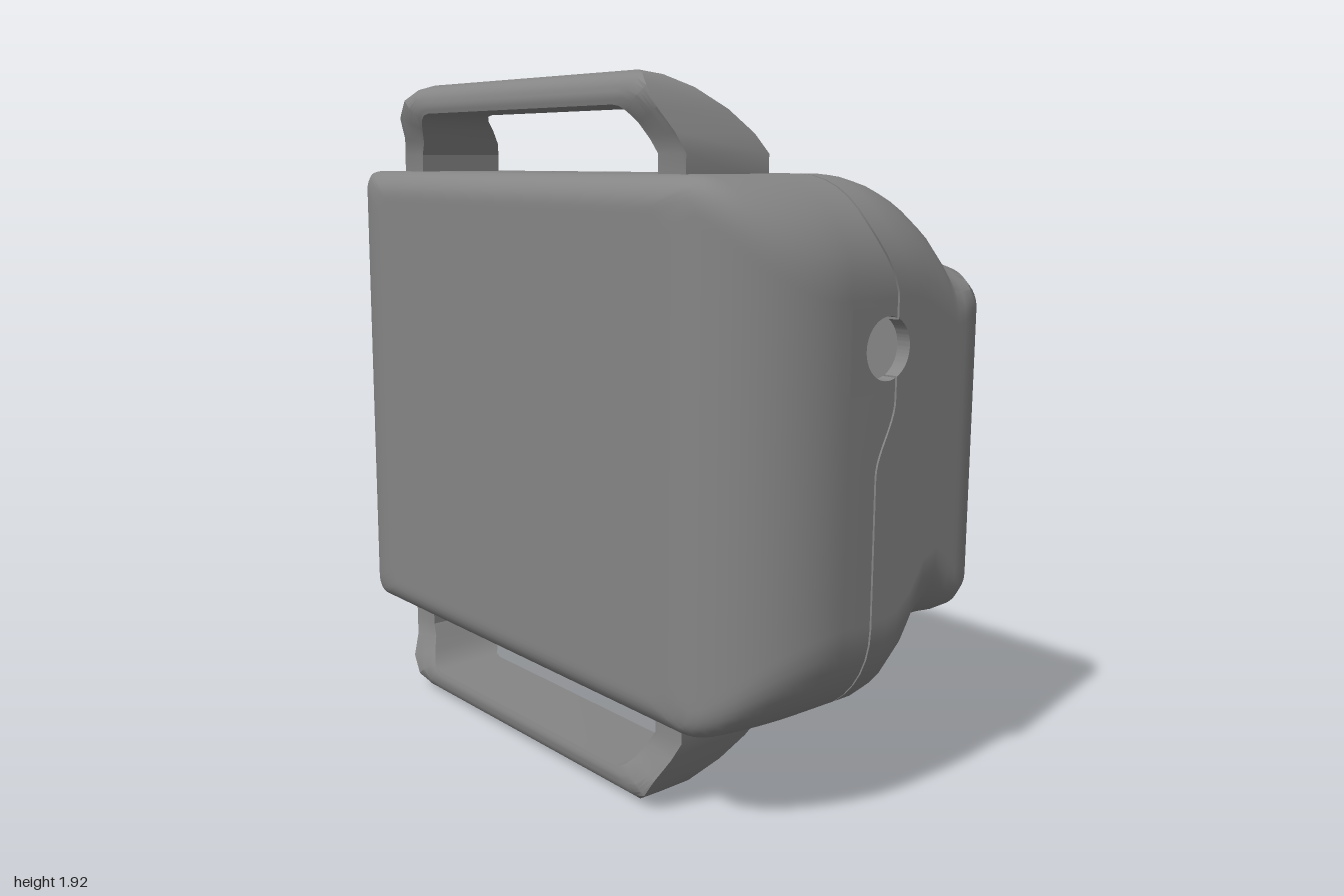
import * as THREE from 'three';
import { toCreasedNormals } from 'three/addons/utils/BufferGeometryUtils.js';

const mat = new THREE.MeshStandardMaterial({ color: 0x858585, side: THREE.DoubleSide });
const { lerp, smoothstep } = THREE.MathUtils;
const TOP = 1.67, BOT = 0.26, R_RIGHT = 0.28, R_LEFT = 0.2;
const ROWS = 48, CORNER = 10, GAP = 0.0035;
const XS = [-0.132, -0.048, 0.46, 0.66]; // columns bounding the small openings

function mesh(name, geo, crease = 0.6) {
  const m = new THREE.Mesh(toCreasedNormals(geo, crease), mat);
  m.name = name;
  return m;
}

// Skins a list of closed rings; skip(band, segment) leaves openings
function loft(rings, { skip = () => false, capStart = false, capEnd = false, flip = false } = {}) {
  const n = rings[0].length, pos = [], idx = [];
  const tri = (a, b, c) => (flip ? idx.push(a, c, b) : idx.push(a, b, c));
  for (const r of rings) for (const p of r) pos.push(p.x, p.y, p.z);
  for (let i = 0; i < rings.length - 1; i++)
    for (let j = 0; j < n; j++) {
      if (skip(i, j)) continue;
      const a = i * n + j, b = i * n + (j + 1) % n;
      tri(a, b, b + n);
      tri(a, b + n, a + n);
    }
  const cap = (ri, rev) => {
    const c = new THREE.Vector3();
    rings[ri].forEach((p) => c.addScaledVector(p, 1 / n));
    const ci = pos.length / 3;
    pos.push(c.x, c.y, c.z);
    for (let j = 0; j < n; j++) {
      const a = ri * n + j, b = ri * n + (j + 1) % n;
      rev ? tri(ci, b, a) : tri(ci, a, b);
    }
  };
  if (capStart) cap(0, true);
  if (capEnd) cap(rings.length - 1, false);
  const g = new THREE.BufferGeometry();
  g.setAttribute('position', new THREE.Float32BufferAttribute(pos, 3));
  g.setIndex(idx);
  return g;
}

// How far the parting line bends backwards on each side wall
function seam(x, y) {
  return x > 0
    ? -0.065 * smoothstep(y, 0.93, 1.12) * (1 - smoothstep(y, 1.37, 1.58))
    : -0.17 * smoothstep(y, 0.73, 0.9) * (1 - smoothstep(y, 1.39, 1.52));
}

// Rounded rectangle across the case; w is how much of the seam bend it follows
function section({ z, top = TOP, bot = BOT, hw = 1, rR = R_RIGHT, rL = R_LEFT, inset = 0, w = 0 }) {
  const p = [];
  const add = (x, y) => p.push(new THREE.Vector3(x, y, z + w * seam(x, y)));
  const corner = (cx, cy, r, a0) => {
    for (let k = 1; k < CORNER; k++) {
      const a = a0 + (k / CORNER) * Math.PI / 2;
      add(cx + (r - inset) * Math.cos(a), cy + (r - inset) * Math.sin(a));
    }
  };
  const columns = XS.map((x) => Math.min(x, hw - rR - 0.005));
  for (let k = 0; k <= ROWS; k++) add(hw - inset, lerp(bot + rR, top - rR, k / ROWS));
  corner(hw - rR, top - rR, rR, 0);
  [hw - rR, ...[...columns].reverse(), rL - hw].forEach((x) => add(x, top - inset));
  corner(rL - hw, top - rL, rL, Math.PI / 2);
  for (let k = 0; k <= ROWS; k++) add(inset - hw, lerp(top - rL, bot + rL, k / ROWS));
  corner(rL - hw, bot + rL, rL, Math.PI);
  [rL - hw, ...columns, hw - rR].forEach((x) => add(x, bot + inset));
  corner(hw - rR, bot + rR, rR, Math.PI * 1.5);
  return p;
}

// Ring segments where openings sit
const TOP0 = ROWS + CORNER, LEFT0 = TOP0 + 5 + CORNER, BOT0 = LEFT0 + ROWS + CORNER;
const atPortPanel = (j) => j >= 34 && j < 46;
const atPort = (j) => j >= 36 && j < 44;
const atSlot = (j) => j >= LEFT0 + 4 && j < LEFT0 + 27;
const atVent = (j) => j === TOP0 + 3;
const atNotch = (j) => j === BOT0 + 3;

// Back profile: depth, top and bottom
const BACK = [
  [-GAP, 1.67, 0.26], [-0.06, 1.67, 0.26], [-0.1, 1.665, 0.27], [-0.15, 1.652, 0.315],
  [-0.2, 1.63, 0.395], [-0.25, 1.58, 0.45], [-0.28, 1.525, 0.47], [-0.305, 1.47, 0.483],
  [-0.33, 1.447, 0.492], [-0.36, 1.43, 0.508], [-0.39, 1.405, 0.53], [-0.41, 1.375, 0.56], [-0.42, 1.33, 0.6],
];
function topAt(z) {
  const i = Math.max(1, BACK.findIndex((b) => b[0] <= z + 1e-6));
  const [a, b] = [BACK[i - 1], BACK[i]];
  return lerp(a[1], b[1], (z - a[0]) / (b[0] - a[0]));
}

function frontShell() {
  const st = [{ z: GAP, inset: 0.04, w: 1 }, { z: GAP, w: 1 }];
  for (let k = 0; k <= 16; k++) {
    const a = (k / 16) * Math.PI / 2, z = 0.1 + 0.32 * Math.sin(a);
    const t = Math.max(0, (z - 0.34) / 0.08), dx = 0.32 * (1 - Math.cos(a));
    const dy = 0.08 * (1 - Math.sqrt(Math.max(0, 1 - t * t)));
    st.push({
      z, top: TOP - dy, bot: BOT + dy, hw: 1 - dx,
      rR: Math.max(0.06, R_RIGHT - dx), rL: Math.max(0.05, R_LEFT - dx),
    });
  }
  st.push({ ...st[st.length - 1], inset: 0.015 }); // flat rim of the face
  const skip = (i, j) => (i === 0 && atPort(j)) || (i === 1 && (atPortPanel(j) || atSlot(j)));
  return mesh('frontShell', loft(st.map(section), { capEnd: true, skip }));
}

function backShell() {
  const st = BACK.map(([z, top, bot]) => {
    const t = Math.min(1, Math.max(0, (-z - 0.35) / 0.07)), s = smoothstep(-z, 0.2, 0.4);
    return {
      z, top, bot, hw: 1 - 0.07 * (1 - Math.sqrt(1 - t * t)),
      rR: lerp(R_RIGHT, 0.08, s), rL: lerp(R_LEFT, 0.08, s),
      w: 1 - Math.min(1, Math.max(0, (-z - 0.06) / 0.19)),
    };
  }).reverse();
  st.unshift({ ...st[0], inset: 0.015 }); // flat rim of the face
  st.push({ z: -GAP, inset: 0.04, w: 1 });
  const flange = st.length - 2;
  const skip = (i, j) =>
    (i === flange && (atPort(j) || atNotch(j))) || (i === flange - 1 && (atPortPanel(j) || atNotch(j))) ||
    (atVent(j) && st[i].z >= -0.361 && st[i + 1].z <= -0.279);
  return mesh('backShell', loft(st.map(section), { capStart: true, skip }));
}

// Wall panel drawn in (-z, y) and extruded along x
function panel(name, shape, x, depth = 0.04) {
  const g = new THREE.ExtrudeGeometry(shape, { depth, bevelEnabled: false, curveSegments: 20 });
  g.rotateY(Math.PI / 2).translate(x, 0, 0);
  return mesh(name, g, 0.5);
}

// Half of the round port, bitten from a rectangle by the port's arc
function portHalf(edge, far, clockwise) {
  const y0 = 1.1421, y1 = 1.3546, cx = 0.033, cy = 1.25, r = 0.08;
  const th = Math.acos((edge - cx) / r);
  const s = new THREE.Shape();
  s.moveTo(far, y0).lineTo(edge, y0).lineTo(edge, cy - r * Math.sin(th));
  s.absarc(cx, cy, r, -th, th, clockwise);
  s.lineTo(edge, y1).lineTo(far, y1).closePath();
  return s;
}

// Left wall panel with a rounded slot between u0 and u1
function slotPanel(u0, u1, r) {
  const y0 = 0.945, y1 = 1.345, edge = 0.17 - GAP;
  const s = new THREE.Shape(), hole = new THREE.Path();
  s.moveTo(-0.1, 0.9019).lineTo(edge, 0.9019).lineTo(edge, 1.3858).lineTo(-0.1, 1.3858).closePath();
  hole.moveTo(u0 + r, y0);
  hole.absarc(u1 - r, y0 + r, r, -Math.PI / 2, 0);
  hole.absarc(u1 - r, y1 - r, r, 0, Math.PI / 2);
  hole.absarc(u0 + r, y1 - r, r, Math.PI / 2, Math.PI);
  hole.absarc(u0 + r, y0 + r, r, Math.PI, Math.PI * 1.5);
  s.holes.push(hole);
  return s;
}

// Small vent let into the back slope: square rim, domed mouth, short bore
function vent() {
  const rings = [[], [], []], n = 32;
  for (let k = 0; k < n; k++) {
    const a = (k / n) * Math.PI * 2, c = Math.cos(a), s = Math.sin(a), m = Math.max(Math.abs(c), Math.abs(s));
    const point = (x, z, deep = 0) => new THREE.Vector3(-0.09 + x, topAt(-0.32 + z), -0.32 + z + deep);
    const mouth = [0.04 * c, Math.min(0.02, 0.038 * s)];
    rings[0].push(point(0.042 * c / m, 0.04 * s / m));
    rings[1].push(point(...mouth));
    rings[2].push(point(...mouth, 0.15));
  }
  return mesh('rearVent', loft(rings, { flip: true }));
}

const sample = (table, h) => {
  const i = Math.min(table.length - 1, Math.max(1, table.findIndex((t) => t[0] >= h)));
  const [a, b] = [table[i - 1], table[i]];
  return lerp(a[1], b[1], Math.min(1, Math.max(0, (h - a[0]) / (b[0] - a[0]))));
};

// Handle: U-shaped outline whose depth follows a horn-shaped side profile
function handle(name, base, dir) {
  const back = [[0, 0.055], [0.05, 0.055], [0.09, 0.074], [0.13, 0.108], [0.17, 0.16], [0.21, 0.225], [0.24, 0.285], [0.255, 0.33]];
  const front = [[0, 0.335], [0.05, 0.335], [0.08, 0.34], [0.12, 0.358], [0.16, 0.382], [0.19, 0.39],
    [0.22, 0.384], [0.24, 0.368], [0.255, 0.335]];
  // outer x, outer height, inner x, inner height
  const half = [[0.665, -0.03, 0.56, -0.03], [0.665, 0.05, 0.56, 0.05], [0.64, 0.1, 0.538, 0.085], [0.61, 0.16, 0.515, 0.125],
    [0.575, 0.212, 0.49, 0.152], [0.53, 0.243, 0.465, 0.166], [0.48, 0.255, 0.44, 0.17]];
  const path = [...half, ...half.map(([a, b, c, d]) => [-a, b, -c, d]).reverse()];
  const N = 8;
  const rings = path.map(([xo, ho, xi, hi]) => {
    const ring = [];
    const put = (t, table) => {
      const h = lerp(hi, ho, t);
      ring.push(new THREE.Vector3(lerp(xi, xo, t), base + dir * h, sample(table, h)));
    };
    for (let k = 0; k <= N; k++) put(k / N, back);
    for (let k = N; k >= 0; k--) put(k / N, front);
    return ring;
  });
  return mesh(name, loft(rings, { capStart: true, capEnd: true, flip: dir < 0 }), 0.5);
}

export function createModel() {
  const g = new THREE.Group();
  g.name = 'carryCase';
  g.add(frontShell(), backShell());

  // Recessed band behind the parting gap
  const core = [-GAP, GAP].map((z) => section({ z, inset: 0.04, w: 1 }));
  g.add(mesh('seamCore', loft(core, { skip: (i, j) => atPort(j) || atNotch(j) })));

  // Side openings
  g.add(panel('roundPortFront', portHalf(0.065 - GAP, -0.1, true), 0.96));
  g.add(panel('roundPortBack', portHalf(0.065 + GAP, 0.125, false), 0.96));
  g.add(panel('sideSlot', slotPanel(0.02, 0.15, 0.03), -1));
  g.add(panel('sideSlotInner', slotPanel(0.02, 0.086, 0.02), -0.93, 0.02));

  // Vent and the floor of the latch notch underneath
  g.add(vent());
  const notch = mesh('latchNotchFloor', new THREE.BoxGeometry(0.2, 0.02, 0.06));
  notch.position.set(0.56, 0.31, -0.03);
  g.add(notch);

  g.add(handle('topHandle', TOP, 1), handle('bottomHandle', BOT, -1));
  return g;
}
